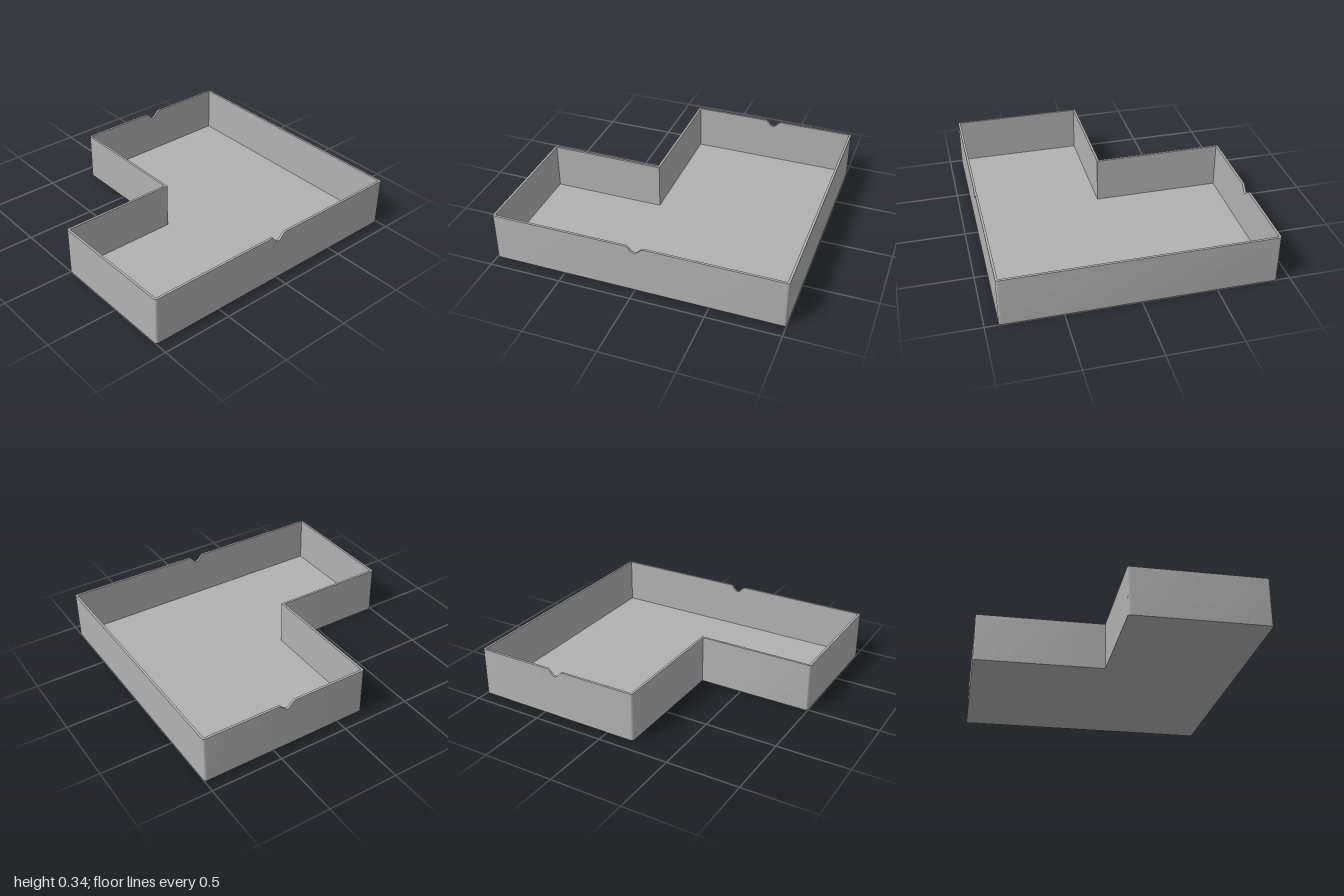
import * as THREE from 'three';
import { toCreasedNormals } from 'three/addons/utils/BufferGeometryUtils.js';

const HEIGHT = 0.34, WALL = 0.016, FLOOR = 0.016;
const NOTCH_DEPTH = 0.045, NOTCH_HALF = 0.062;

// Inside corners of the L-shaped tray as [x, z]
const CORNERS = [
  [-0.894, -0.984], [0.894, -0.984], [0.894, 0.984],
  [0.006, 0.984], [0.006, 0.182], [-0.894, 0.182],
].map(([x, z]) => new THREE.Vector2(x, z));

// Edges (by starting corner) that carry a rim notch at their given z
const NOTCHES = { 1: 0, 5: -0.4 };

// Matching inner and outer points round the tray, each with its rim height
function traceWall() {
  const ring = [];
  const n = CORNERS.length;
  const normal = (i) => {
    const d = CORNERS[(i + 1) % n].clone().sub(CORNERS[i % n]).normalize();
    return new THREE.Vector2(d.y, -d.x);
  };
  const add = (inner, offset, y = HEIGHT) =>
    ring.push({ inner, outer: inner.clone().addScaledVector(offset, WALL), y });

  CORNERS.forEach((corner, i) => {
    const n0 = normal(i + n - 1), n1 = normal(i);
    if (n0.cross(n1) > 0) {
      // Outside corner: rounded
      for (let k = 0; k <= 5; k++) {
        const a = n0.angle() + (k / 5) * Math.PI / 2;
        add(corner, new THREE.Vector2(Math.cos(a), Math.sin(a)));
      }
    } else {
      // Inside corner of the L: sharp
      add(corner, n0.clone().add(n1));
    }
    if (i in NOTCHES) {
      const dir = Math.sign(CORNERS[(i + 1) % n].y - corner.y);
      for (let k = -12; k <= 12; k++) {
        const u = k / 12;
        const dip = NOTCH_DEPTH * 0.5 * (1 + Math.cos(Math.PI * u));
        add(new THREE.Vector2(corner.x, NOTCHES[i] + dir * u * NOTCH_HALF), n1, HEIGHT - dip);
      }
    }
  });
  return ring;
}

// Skin the wall: outer face, rim, inner face
function wallGeometry(ring) {
  const pos = [];
  const section = ({ inner, outer, y }) => [
    [outer.x, 0, outer.y], [outer.x, y, outer.y],
    [inner.x, y, inner.y], [inner.x, FLOOR, inner.y],
  ];
  ring.forEach((point, i) => {
    const next = ring[(i + 1) % ring.length];
    const p = section(point), q = section(next);
    const sameInner = point.inner.distanceTo(next.inner) < 1e-6;
    for (let j = 0; j < 3; j++) {
      if (sameInner && j === 2) continue;
      pos.push(...p[j], ...p[j + 1], ...q[j]);
      if (!(sameInner && j === 1)) pos.push(...p[j + 1], ...q[j + 1], ...q[j]);
    }
  });
  const geo = new THREE.BufferGeometry();
  geo.setAttribute('position', new THREE.Float32BufferAttribute(pos, 3));
  return toCreasedNormals(geo, Math.PI / 6);
}

export function createModel() {
  const group = new THREE.Group();
  group.name = 'tray';
  const grey = new THREE.MeshStandardMaterial({ color: 0xb2b2b2 });
  grey.name = 'grey';
  const add = (name, geometry) => {
    const mesh = new THREE.Mesh(geometry, grey);
    mesh.name = name;
    group.add(mesh);
    return mesh;
  };

  const ring = traceWall();
  add('wall', wallGeometry(ring));

  // Inside floor, facing up
  const floorShape = new THREE.Shape(CORNERS.map((p) => new THREE.Vector2(p.x, -p.y)));
  add('floor', new THREE.ShapeGeometry(floorShape).rotateX(-Math.PI / 2)).position.y = FLOOR;

  // Underside, facing down
  const baseShape = new THREE.Shape(ring.map((r) => r.outer));
  add('underside', new THREE.ShapeGeometry(baseShape).rotateX(Math.PI / 2));

  return group;
}
